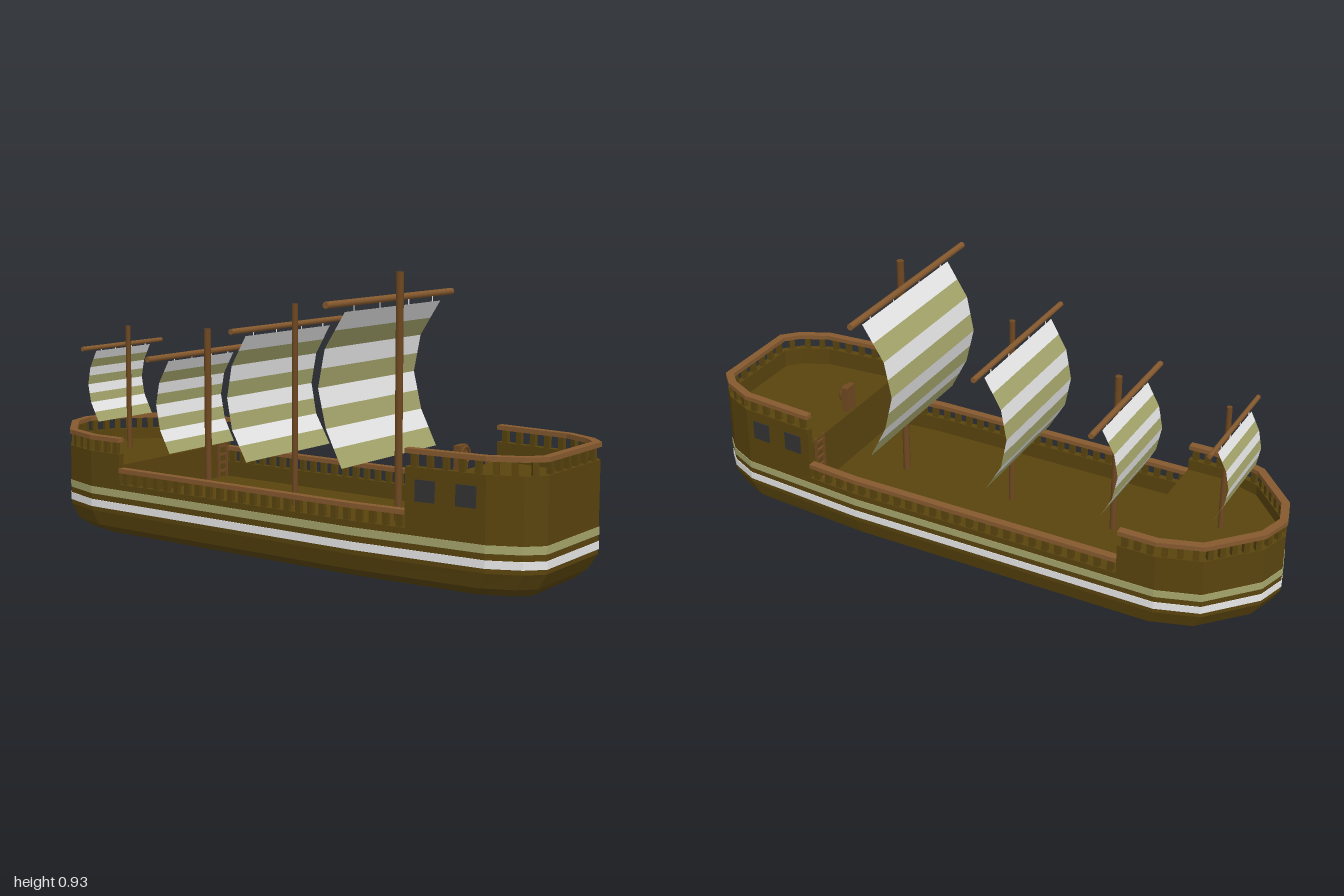
import * as THREE from 'three';

const mat = (name, color, extra = {}) => {
  const m = new THREE.MeshStandardMaterial({ color, ...extra });
  m.name = name;
  return m;
};

export function createModel() {
  const hullWood = mat('hull wood', 0x59440e, { flatShading: true });
  const railWood = mat('rail wood', 0x85592e);
  const mastWood = mat('mast wood', 0x6e4821);
  const white = mat('white', 0xfafafa, { side: THREE.DoubleSide });
  const olive = mat('olive', 0xa5a56c, { side: THREE.DoubleSide });
  const dark = mat('window dark', 0x333333);

  const model = new THREE.Group();
  const ship = new THREE.Group();
  ship.name = 'ship';
  ship.position.z = -0.008;
  model.add(ship);

  const add = (name, geo, material, x = 0, y = 0, z = 0, parent = ship) => {
    const m = new THREE.Mesh(geo, material);
    m.name = name;
    m.position.set(x, y, z);
    parent.add(m);
    return m;
  };
  const box = (w, h, d) => new THREE.BoxGeometry(w, h, d);
  const rod = (r, len, sides = 8) => new THREE.CylinderGeometry(r, r, len, sides);

  // Plan outline as [x, z], bow at -x
  const bow = [[-1, 0], [-0.97, 0.1], [-0.83, 0.252], [-0.69, 0.297]];
  const stern = [[0.4, 0.297], [0.85, 0.262], [0.95, 0.215], [1, 0.163]];
  const mirror = (pts) => pts.map(([x, z]) => [x, -z]).reverse();
  const half = [...bow, ...stern];
  const outline = [...half, ...mirror(half.slice(1))];

  // Open runs of the outline for the three deck sections
  const X0 = -0.56, X1 = 0.585, Z1 = 0.2826;
  const foreHalf = [...bow.slice(1), [X0, 0.297]];
  const aftHalf = [[X1, Z1], ...stern.slice(1)];
  const forePath = [...mirror(foreHalf), bow[0], ...foreHalf];
  const aftPath = [...aftHalf, ...mirror(aftHalf)];
  const midPath = [[X0, 0.297], stern[0], [X1, Z1]];

  // Move a run outwards by d, with mitred corners
  const offset = (pts, d, closed = false) => pts.map((p, i) => {
    const n = pts.length;
    const normal = (a, b) => {
      const l = Math.hypot(b[0] - a[0], b[1] - a[1]);
      return [-(b[1] - a[1]) / l, (b[0] - a[0]) / l];
    };
    const prev = i > 0 ? pts[i - 1] : closed ? pts[n - 1] : null;
    const next = i < n - 1 ? pts[i + 1] : closed ? pts[0] : null;
    const n1 = prev ? normal(prev, p) : normal(p, next);
    const n2 = next ? normal(p, next) : n1;
    const k = d / (1 + n1[0] * n2[0] + n1[1] * n2[1]);
    return [p[0] + (n1[0] + n2[0]) * k, p[1] + (n1[1] + n2[1]) * k];
  });
  const toV = (pts) => pts.map(([x, z]) => new THREE.Vector2(x, -z));
  const slab = (pts, y0, y1, hole) => {
    const shape = new THREE.Shape(toV(pts));
    if (hole) shape.holes.push(new THREE.Path(toV(hole)));
    return new THREE.ExtrudeGeometry(shape, { depth: y1 - y0, bevelEnabled: false })
      .rotateX(-Math.PI / 2).translate(0, y0, 0);
  };
  const wall = (pts, out, inn, y0, y1) =>
    slab([...offset(pts, out), ...offset(pts, -inn).reverse()], y0, y1);

  // Chamfered bottom lofted from scaled outlines
  const rings = [[0, 0.935, 0.81], [0.03, 0.97, 0.955], [0.08, 1, 1]]
    .map(([y, sx, sz]) => outline.map(([x, z]) => [x * sx, y, z * sz]));
  const tri = [];
  outline.forEach((_, i) => {
    const j = (i + 1) % outline.length;
    tri.push([0, 0, 0], rings[0][j], rings[0][i]);
    for (let k = 0; k < 2; k++) {
      const a = rings[k][i], b = rings[k][j], c = rings[k + 1][j], d = rings[k + 1][i];
      tri.push(a, b, c, a, c, d);
    }
  });
  const keel = new THREE.BufferGeometry();
  keel.setAttribute('position', new THREE.Float32BufferAttribute(tri.flat(), 3));
  keel.computeVertexNormals();
  add('hullBottom', keel, hullWood);

  // Hull body, raised decks and painted stripes
  add('mainDeckHull', slab(outline, 0.08, 0.13), hullWood);
  add('foreDeck', slab(offset(forePath, -0.008), 0.13, 0.25), hullWood);
  add('aftDeck', slab(offset(aftPath, -0.008), 0.13, 0.31), hullWood);
  const outer = offset(outline, 0.002, true), inner = offset(outline, -0.002, true);
  add('whiteStripe', slab(outer, 0.095, 0.12, inner), white);
  add('oliveStripe', slab(outer, 0.14, 0.165, inner), olive);

  // Bulwarks with posts and a handrail
  const bulwark = (name, path, top, spacing) => {
    const g = new THREE.Group();
    g.name = name;
    ship.add(g);
    add('bulwark', wall(path, 0, 0.022, 0.13, top), hullWood, 0, 0, 0, g);
    add('handrail', wall(path, 0.003, 0.024, top + 0.04, top + 0.055), railWood, 0, 0, 0, g);
    const line = offset(path, -0.011);
    const post = box(0.019, 0.042, 0.016);
    for (let i = 0; i < line.length - 1; i++) {
      const [a, b] = [line[i], line[i + 1]];
      const len = Math.hypot(b[0] - a[0], b[1] - a[1]);
      const n = Math.max(1, Math.round(len / spacing));
      for (let k = 0; k < n; k++) {
        const t = (k + 0.5) / n;
        const m = add('railPost', post, hullWood, a[0] + (b[0] - a[0]) * t, top + 0.02,
          a[1] + (b[1] - a[1]) * t, g);
        m.rotation.y = -Math.atan2(b[1] - a[1], b[0] - a[0]);
      }
    }
  };
  bulwark('foreRail', forePath, 0.288, 0.042);
  bulwark('leftRail', midPath, 0.185, 0.045);
  bulwark('rightRail', mirror(midPath), 0.185, 0.045);
  bulwark('aftRail', aftPath, 0.372, 0.05);

  // Cabin windows on both sides
  const slope = Math.atan2(0.035, 0.45);
  for (const s of [1, -1]) for (const x of [0.652, 0.787]) {
    const z = 0.297 - (x - 0.4) * 0.035 / 0.45;
    add('window', box(0.066, 0.066, 0.008), dark, x, 0.303, s * z).rotation.y = s * slope;
  }

  // Ladders up to the raised decks
  const ladder = (x, z, top) => {
    const g = new THREE.Group();
    g.name = 'ladder';
    ship.add(g);
    const h = top - 0.13;
    for (const s of [-1, 1]) add('ladderSide', box(0.008, h, 0.008), mastWood, x, 0.13 + h / 2, z + s * 0.022, g);
    for (let y = 0.155; y < top; y += 0.03) add('rung', box(0.008, 0.008, 0.044), mastWood, x, y, z, g);
  };
  ladder(0.576, -0.23, 0.325);
  ladder(-0.55, -0.24, 0.265);

  // Steering stand and wheel
  add('wheelStand', box(0.022, 0.09, 0.05), mastWood, 0.605, 0.355, 0);
  const wheel = add('steeringWheel', new THREE.TorusGeometry(0.025, 0.005, 6, 12), mastWood, 0.622, 0.37, 0);
  wheel.rotation.y = Math.PI / 2;

  // Striped sail: four bent panels, two stripes on each
  const sailGeometry = (profile, w) => {
    const pos = [], g = new THREE.BufferGeometry();
    for (let i = 0; i < 8; i++) {
      const at = (t) => {
        const k = Math.min(3, Math.floor(t)), f = t - k, a = profile[k], b = profile[k + 1];
        return [a[0] + (b[0] - a[0]) * f, a[1] + (b[1] - a[1]) * f];
      };
      const p = at(i / 2), q = at((i + 1) / 2);
      const a = [...p, -w], b = [...p, w], c = [...q, w], d = [...q, -w];
      pos.push(...a, ...d, ...c, ...a, ...c, ...b);
      g.addGroup(i * 6, 6, i % 2);
    }
    g.setAttribute('position', new THREE.Float32BufferAttribute(pos, 3));
    g.computeVertexNormals();
    return g;
  };

  const rigs = [
    { x: 0.375, r: 0.0125, base: 0.13, top: 0.925, yard: [0.35, 0.843, 0.355, 0.011, 0.008], w: 0.27,
      sail: [[0.355, 0.817], [0.28, 0.7], [0.255, 0.577], [0.285, 0.453], [0.345, 0.335]] },
    { x: -0.038, r: 0.01, base: 0.13, top: 0.805, yard: [-0.058, 0.735, 0.302, 0.0095, 0.008], w: 0.23,
      sail: [[-0.062, 0.715], [-0.12, 0.615], [-0.14, 0.51], [-0.12, 0.405], [-0.062, 0.305]] },
    { x: -0.415, r: 0.012, base: 0.13, top: 0.7, yard: [-0.438, 0.618, 0.265, 0.01, 0.018], w: 0.173,
      sail: [[-0.442, 0.602], [-0.485, 0.525], [-0.5, 0.448], [-0.483, 0.362], [-0.442, 0.285]] },
    { x: -0.785, r: 0.009, base: 0.25, top: 0.69, yard: [-0.802, 0.623, 0.205, 0.008, 0.01], w: 0.14,
      sail: [[-0.808, 0.61], [-0.838, 0.55], [-0.85, 0.488], [-0.838, 0.425], [-0.803, 0.358]] },
  ];
  for (const { x, r, base, top, yard, w, sail } of rigs) {
    const g = new THREE.Group();
    g.name = 'mastAndSail';
    ship.add(g);
    add('mast', rod(r, top - base), mastWood, x, (top + base) / 2, 0, g);
    const [yx, yy, yl, yr, yz] = yard;
    add('yard', rod(yr, yl * 2), railWood, yx, yy, yz, g).rotation.x = Math.PI / 2;
    add('sail', sailGeometry(sail, w), [white, olive], 0, 0, 0, g);
    for (const t of [-0.82, -0.3, 0.3, 0.82])
      add('sailTie', rod(0.002, yy - sail[0][1], 5), white, sail[0][0], (yy + sail[0][1]) / 2, t * w, g);
  }
  return model;
}
